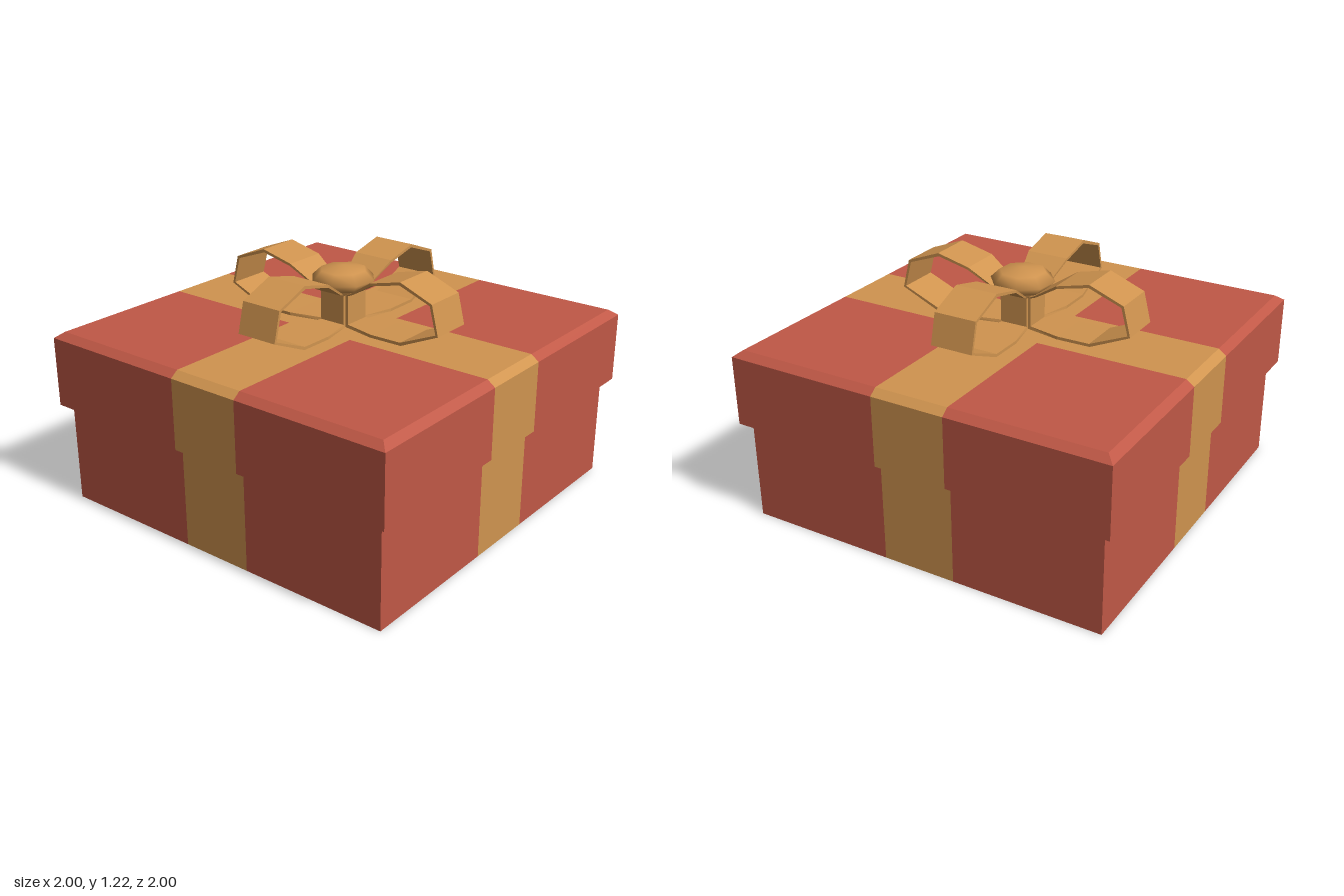
import * as THREE from 'three';

const RIBBON = 0.19; // half width of the ribbon painted on the box

// Box whose faces are split in three each way, so the middle strips form the ribbon
function ribbonBox(width, y0, y1, materials, bevel = 0, bevelDrop = 0) {
  const h = y1 - y0, half = width / 2;
  const box = new THREE.BoxGeometry(width, h, width, 3, bevel ? 2 : 1, 3);
  const p = box.attributes.position;
  for (let i = 0; i < p.count; i++) {
    const t = p.getY(i) / h + 0.5;
    const edge = bevel && t > 0.9 ? half - bevel : half;
    const place = v => Math.sign(v) * (Math.abs(v) < half * 0.5 ? RIBBON : edge);
    const y = t < 0.1 ? y0 : t > 0.9 ? y1 : y1 - bevelDrop;
    p.setXYZ(i, place(p.getX(i)), y, place(p.getZ(i)));
  }
  const geo = box.toNonIndexed();
  geo.clearGroups();
  const q = geo.attributes.position;
  for (let i = 0; i < q.count; i += 3) {
    const mid = axis => Math.abs(
      q.getComponent(i, axis) + q.getComponent(i + 1, axis) + q.getComponent(i + 2, axis)) / 3;
    geo.addGroup(i, 3, mid(0) < RIBBON || mid(2) < RIBBON ? 1 : 0);
  }
  geo.computeVertexNormals();
  return new THREE.Mesh(geo, materials);
}

// Closed band of ribbon: x, y and half width at each bend
function loopGeometry() {
  const path = [
    [0.07, 0.907, 0.07], [0.25, 0.907, 0.11], [0.43, 0.908, 0.11],
    [0.638, 1.0, 0.11], [0.6, 1.15, 0.11], [0.42, 1.22, 0.11],
    [0.245, 1.178, 0.11], [0.11, 1.09, 0.085], [0.07, 1.07, 0.07],
  ];
  const cx = 0.36, cy = 1.06;
  const sections = path.map(([x, y, w]) => {
    const ix = cx + (x - cx) * 0.95, iy = cy + (y - cy) * 0.9;
    return [[x, y, w], [x, y, -w], [ix, iy, -w], [ix, iy, w]];
  });
  const pos = [];
  sections.forEach((s, i) => {
    const n = sections[(i + 1) % sections.length];
    for (let k = 0; k < 4; k++) {
      const m = (k + 1) % 4;
      pos.push(...s[k], ...s[m], ...n[m], ...s[k], ...n[m], ...n[k]);
    }
  });
  const geo = new THREE.BufferGeometry();
  geo.setAttribute('position', new THREE.Float32BufferAttribute(pos, 3));
  geo.computeVertexNormals();
  return geo;
}

export function createModel() {
  const red = new THREE.MeshStandardMaterial({ name: 'red paper', color: 0xc05846 });
  const gold = new THREE.MeshStandardMaterial({ name: 'gold ribbon', color: 0xd0944f });
  const model = new THREE.Group();
  model.name = 'giftBox';

  // Box and lid
  const body = ribbonBox(1.91, 0, 0.53, [red, gold]);
  body.name = 'boxBody';
  const lid = ribbonBox(2, 0.52, 0.905, [red, gold], 0.04, 0.03);
  lid.name = 'lid';
  model.add(body, lid);

  // Bow: four loops around a flattened knot
  const bow = new THREE.Group();
  bow.name = 'bow';
  const loop = loopGeometry();
  for (let i = 0; i < 4; i++) {
    const mesh = new THREE.Mesh(loop, gold);
    mesh.name = 'bowLoop';
    mesh.rotation.y = i * Math.PI / 2;
    bow.add(mesh);
  }
  const knot = new THREE.Mesh(new THREE.SphereGeometry(0.162, 8, 4), gold);
  knot.name = 'knot';
  knot.scale.y = 0.4;
  knot.position.y = 1.13;
  knot.rotation.y = 0.3;
  bow.add(knot);
  model.add(bow);
  return model;
}
